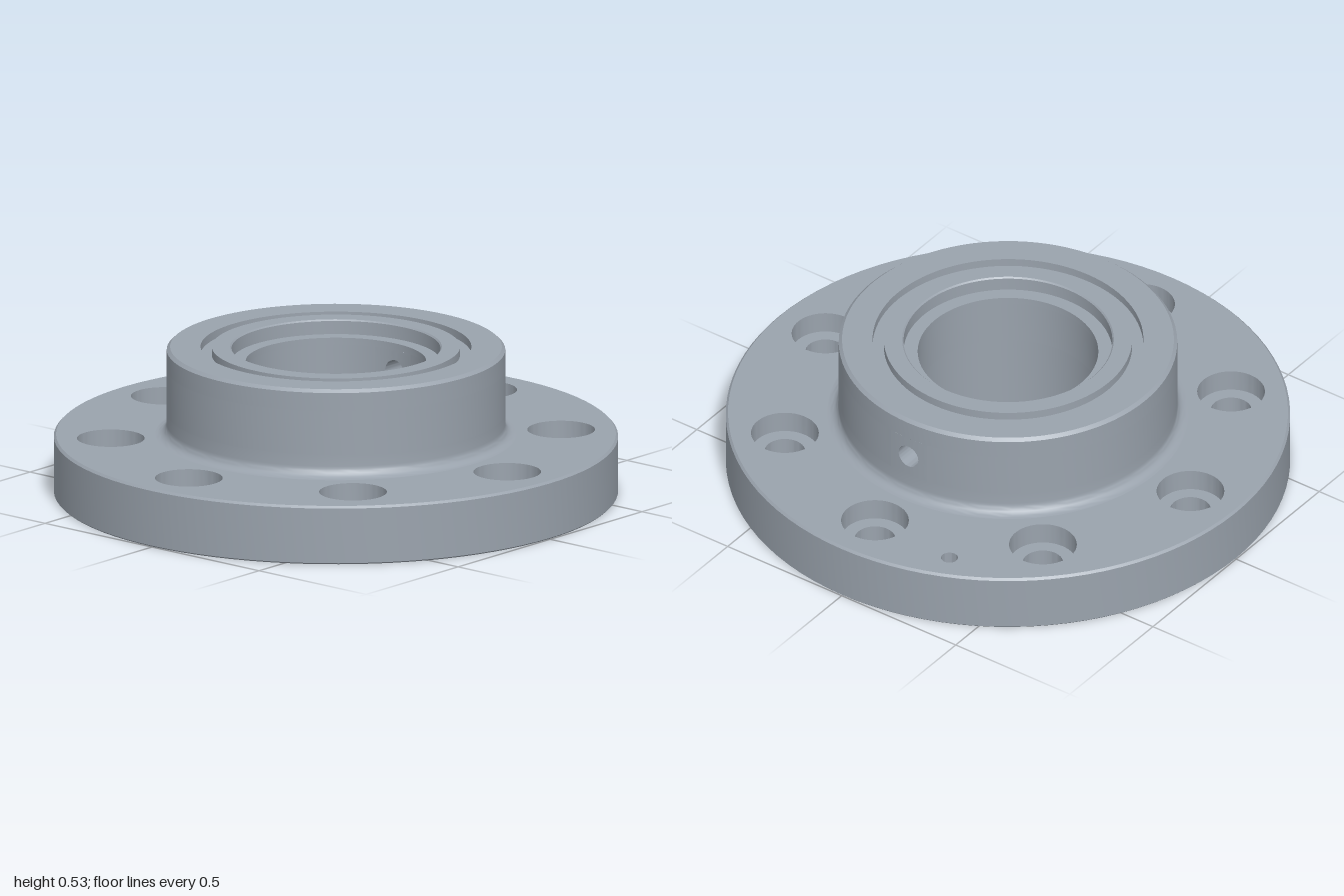
import * as THREE from 'three';
import { toCreasedNormals } from 'three/addons/utils/BufferGeometryUtils.js';

const SEG = 96;
const FLANGE_Y = 0.213, TOP_Y = 0.533, BORE_R = 0.32, HUB_R = 0.6;
const CROSS_Y = 0.375, CROSS_R = 0.043, BAND = 0.08; // side hole and the wall band around it

export function createModel() {
  const steel = new THREE.MeshStandardMaterial({ color: 0x9aa3ad });
  steel.name = 'steel grey';
  const model = new THREE.Group();
  model.name = 'flangedHub';

  const add = (name, geometry) => {
    const mesh = new THREE.Mesh(toCreasedNormals(geometry, 0.5), steel);
    mesh.name = name;
    model.add(mesh);
    return mesh;
  };
  const lathe = (points, ...args) =>
    new THREE.LatheGeometry(points.map(([r, y]) => new THREE.Vector2(r, y)), ...(args.length ? args : [SEG]));

  // Bolt circle and the small locating hole, as [x, z]
  const bolts = Array.from({ length: 8 }, (_, i) => {
    const a = (i * Math.PI) / 4;
    return [0.8 * Math.cos(a), 0.8 * Math.sin(a)];
  });
  const pin = [0.825, -0.345];

  // Flat ring in the ground plane, with round holes [x, z, r]
  const plate = (outer, inner, holes, y, up) => {
    const dir = up ? -1 : 1;
    const shape = new THREE.Shape().absarc(0, 0, outer, 0, Math.PI * 2);
    for (const [x, z, r] of [[0, 0, inner], ...holes]) {
      shape.holes.push(new THREE.Path().absarc(x, dir * z, r, 0, Math.PI * 2, true));
    }
    return new THREE.ShapeGeometry(shape, SEG / 2).rotateX(dir * Math.PI / 2).translate(0, y, 0);
  };

  // Flange: underside with ring recess, rim and drilled faces
  add('underside', lathe([
    [BORE_R, CROSS_Y - BAND], [BORE_R, 0], [0.51, 0], [0.51, 0.04], [0.68, 0.04], [0.68, 0],
  ]));
  add('flangeRim', lathe([[0.995, 0], [1, 0.005], [1, FLANGE_Y - 0.008], [0.992, FLANGE_Y]]));
  add('flangeBottom', plate(0.995, 0.68, bolts.map(([x, z]) => [x, z, 0.072]), 0, false));
  add('flangeTop', plate(0.992, 0.64,
    [...bolts.map(([x, z]) => [x, z, 0.12]), [...pin, 0.03]], FLANGE_Y, true));

  // Counterbored bolt holes and blind locating hole
  for (const [x, z] of bolts) {
    const y = FLANGE_Y - 0.08;
    add('boltHole', lathe([[0.12, FLANGE_Y], [0.12, y], [0.072, y], [0.072, 0]])).position.set(x, 0, z);
  }
  add('locatingHole', lathe([[0.03, FLANGE_Y], [0.03, 0.13], [0, 0.13]])).position.set(pin[0], 0, pin[1]);

  // Hub: root fillet, then the top with its chamfer, seal groove and counterbore
  const fillet = Array.from({ length: 9 }, (_, i) => {
    const a = Math.PI * (1.5 - i / 16);
    return [0.64 + 0.04 * Math.cos(a), FLANGE_Y + 0.04 + 0.04 * Math.sin(a)];
  });
  add('hubBase', lathe([...fillet, [HUB_R, CROSS_Y - BAND]]));
  add('hubTop', lathe([
    [HUB_R, CROSS_Y + BAND], [HUB_R, 0.522], [0.588, TOP_Y],
    [0.48, TOP_Y], [0.48, 0.503], [0.44, 0.503], [0.44, TOP_Y],
    [0.375, TOP_Y], [0.37, 0.528], [0.37, 0.48], [BORE_R, 0.48], [BORE_R, CROSS_Y + BAND],
  ]));

  // Wall band pierced by the side hole: a cylinder with a gap, filled by a bent patch
  const piercedWall = (name, R, gapSegs, outward) => {
    const a = (gapSegs * Math.PI * 2) / SEG;
    const ys = [CROSS_Y - BAND, CROSS_Y + BAND];
    if (!outward) ys.reverse();
    add(name, lathe(ys.map((y) => [R, y]), SEG - 2 * gapSegs, Math.PI / 2 + a, Math.PI * 2 - 2 * a));

    const patch = new THREE.RingGeometry(1, 2, 48, 4);
    const p = patch.attributes.position;
    for (let i = 0; i < p.count; i++) {
      const len = Math.hypot(p.getX(i), p.getY(i));
      const c = p.getX(i) / len, s = p.getY(i) / len;
      const m = Math.max(Math.abs(c), Math.abs(s));
      const u = THREE.MathUtils.lerp(CROSS_R * c, (a * R * c) / m, len - 1);
      const v = THREE.MathUtils.lerp(CROSS_R * s, (BAND * s) / m, len - 1);
      p.setXYZ(i, R * Math.cos(u / R), CROSS_Y + v, (outward ? -1 : 1) * R * Math.sin(u / R));
    }
    add(name + 'Patch', patch);
  };
  piercedWall('hubWall', HUB_R, 2, true);
  piercedWall('boreWall', BORE_R, 4, false);

  // Side hole lining, its ends following both curved walls
  const lining = lathe([[CROSS_R, 1], [CROSS_R, 0]], 48).rotateZ(-Math.PI / 2);
  const q = lining.attributes.position;
  for (let i = 0; i < q.count; i++) {
    const R = q.getX(i) > 0.5 ? HUB_R : BORE_R;
    q.setX(i, Math.sqrt(R * R - q.getZ(i) ** 2));
  }
  add('sideHole', lining.translate(0, CROSS_Y, 0));

  return model;
}
